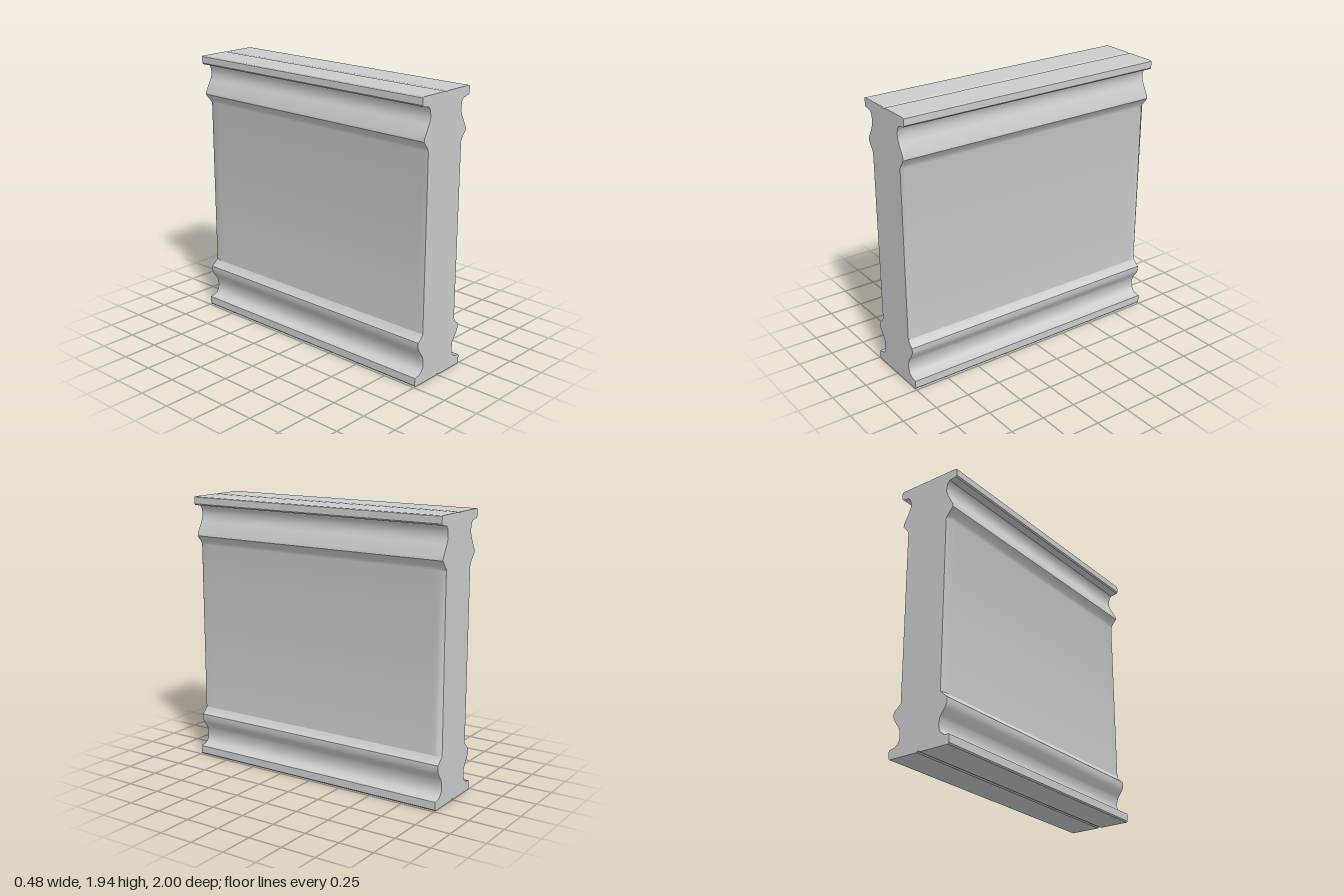
import * as THREE from 'three';
import { toCreasedNormals } from 'three/addons/utils/BufferGeometryUtils.js';

// Right half of the moulded cross-section, from bottom to top
const HALF = [
  [0, 0.012], [0.012, 0.003], [0.232, 0.003], [0.24, 0.012], [0.24, 0.066],
  [0.195, 0.074], [0.172, 0.09], [0.159, 0.115], [0.156, 0.145], [0.162, 0.185],
  [0.172, 0.205], [0.202, 0.245], [0.215, 0.275], [0.215, 0.31], [0.188, 0.332], [0.172, 0.358],
  [0.172, 1.585], [0.18, 1.61], [0.205, 1.64], [0.215, 1.655], [0.213, 1.675],
  [0.17, 1.755], [0.157, 1.79], [0.157, 1.82], [0.165, 1.852], [0.18, 1.87],
  [0.232, 1.878], [0.24, 1.888], [0.24, 1.935], [0.232, 1.94], [0.012, 1.94], [0, 1.932],
];

export function createModel() {
  const group = new THREE.Group();
  group.name = 'mouldedWallBlock';

  // Mirror the half profile into a closed outline
  const left = HALF.slice(1, -1).reverse().map(([x, y]) => [-x, y]);
  const outline = [...HALF, ...left].map(([x, y]) => new THREE.Vector2(x, y));

  const geometry = new THREE.ExtrudeGeometry(new THREE.Shape(outline), {
    depth: 2, steps: 50, bevelEnabled: false,
  });
  geometry.translate(0, 0, -1);

  // Narrow the panel slightly at its ends, more so at the back
  const p = geometry.attributes.position;
  for (let i = 0; i < p.count; i++) {
    const y = p.getY(i), z = p.getZ(i);
    if (y < 0.35 || y > 1.6) continue;
    if (z < -0.99) p.setX(i, p.getX(i) * 0.93);
    else if (z > 0.99) p.setX(i, p.getX(i) * 0.985);
  }

  const body = new THREE.Mesh(
    toCreasedNormals(geometry, 0.55),
    new THREE.MeshStandardMaterial({ color: 0xcccccc }),
  );
  body.name = 'wallBody';
  group.add(body);
  return group;
}
